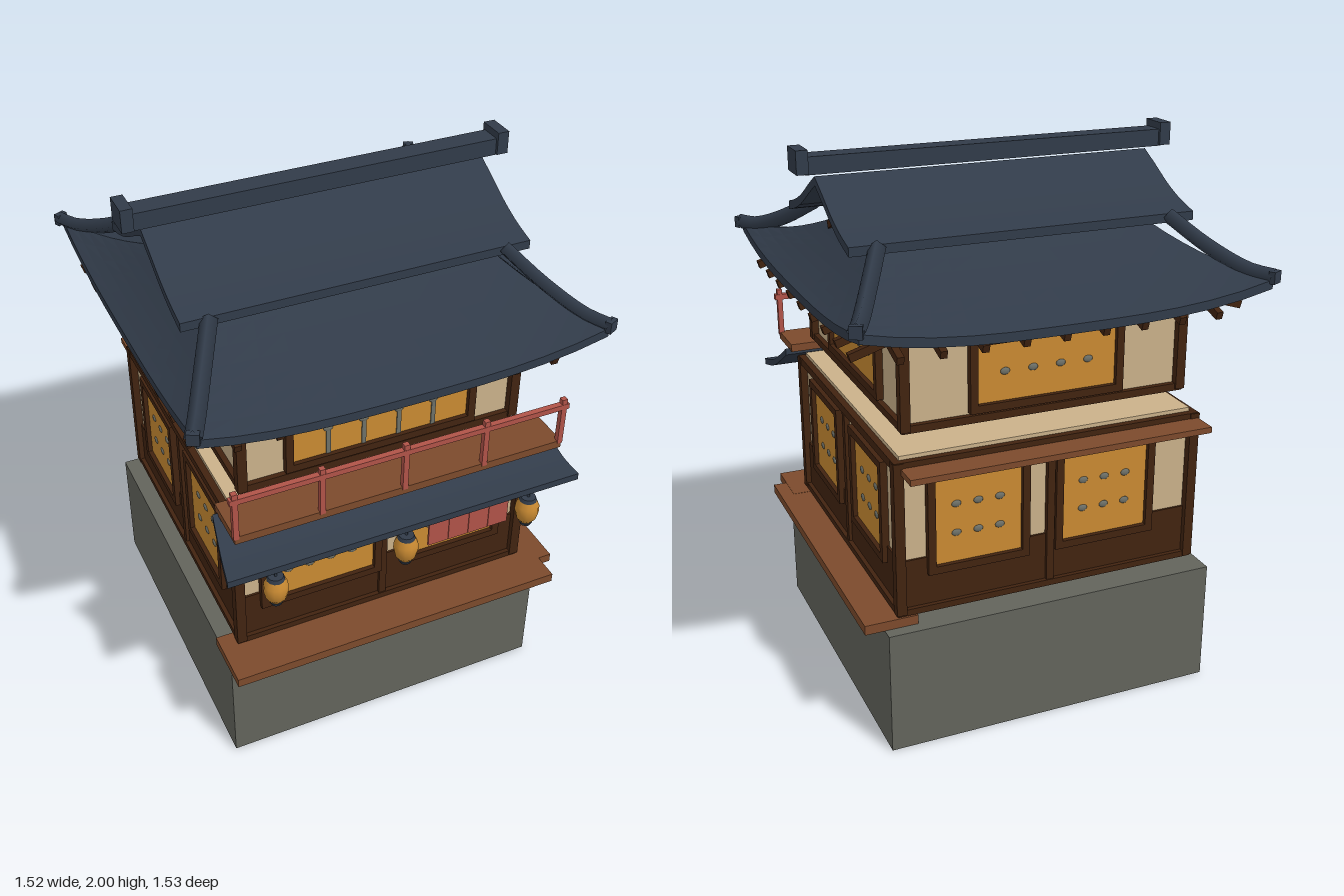
import * as THREE from 'three';

const mat = (name, color, double) => {
  const m = new THREE.MeshStandardMaterial({ color });
  m.name = name;
  if (double) m.side = THREE.DoubleSide;
  return m;
};

export function createModel() {
  const M = {
    stone: mat('stone', 0x62635b), wood: mat('deck wood', 0x7c4a2c), dark: mat('dark timber', 0x412310),
    plaster: mat('plaster', 0xcab18a), amber: mat('lit paper', 0xc98a32), tile: mat('roof tile', 0x313b49, true),
    red: mat('red', 0xb05348), lattice: mat('lattice grey', 0x6d7068),
  };
  const model = new THREE.Group();
  model.name = 'townhouse';

  const add = (parent, name, geo, material, x = 0, y = 0, z = 0) => {
    const mesh = new THREE.Mesh(geo, material);
    mesh.name = name;
    mesh.position.set(x, y, z);
    parent.add(mesh);
    return mesh;
  };
  // box given by its limits on each axis
  const box = (parent, name, material, x0, x1, y0, y1, z0, z1) => add(parent, name,
    new THREE.BoxGeometry(x1 - x0, y1 - y0, z1 - z0), material, (x0 + x1) / 2, (y0 + y1) / 2, (z0 + z1) / 2);
  const group = (parent, name, z = 0, turn = 0) => {
    const g = new THREE.Group();
    g.name = name;
    g.position.z = z;
    g.rotation.y = turn;
    parent.add(g);
    return g;
  };

  // curved roof sheet: profile of [z, y] points swept along x
  const sheet = (points, thick, width) => {
    const top = new THREE.SplineCurve(points.map(p => new THREE.Vector2(...p))).getPoints(16);
    const under = top.map(p => new THREE.Vector2(p.x, p.y - thick)).reverse();
    const geo = new THREE.ExtrudeGeometry(new THREE.Shape([...top, ...under]), { depth: width, bevelEnabled: false });
    return geo.rotateY(-Math.PI / 2).translate(width / 2, 0, 0);
  };

  // framed paper window with lattice knots
  const knot = new THREE.SphereGeometry(1, 8, 6);
  const addWindow = (parent, x0, x1, y0, y1, z, cols, rows, bars = false) => {
    const g = group(parent, 'window'), f = 0.028;
    box(g, 'paper', M.amber, x0, x1, y0, y1, z - 0.005, z + 0.008);
    for (const [a, b] of [[x0 - f, x0], [x1, x1 + f]]) box(g, 'frameSide', M.dark, a, b, y0 - f, y1 + f, z - 0.01, z + 0.025);
    for (const [a, b] of [[y0 - f, y0], [y1, y1 + f]]) box(g, 'frameRail', M.dark, x0, x1, a, b, z - 0.01, z + 0.025);
    for (let i = 1; i <= cols; i++) {
      const x = x0 + (x1 - x0) * i / (cols + 1);
      if (bars) box(g, 'latticeBar', M.lattice, x - 0.008, x + 0.008, y0, y1, z, z + 0.012);
      for (let j = 1; j <= rows; j++) {
        const y = y0 + (y1 - y0) * j / (rows + 1);
        add(g, 'latticeKnot', knot, M.lattice, x, y, z + 0.008).scale.set(0.018, 0.013, 0.006);
      }
    }
  };

  // stone base and deck
  box(model, 'stoneBase', M.stone, -0.622, 0.622, 0, 0.457, -0.63, 0.614);
  box(model, 'frontDeck', M.wood, -0.635, 0.64, 0.457, 0.492, 0.5, 0.718);
  box(model, 'sideDeck', M.wood, 0.5, 0.692, 0.456, 0.491, -0.585, 0.62);

  const house = group(model, 'house', -0.01);
  const turns = [0, Math.PI / 2, Math.PI, -Math.PI / 2];
  const names = ['front', 'left', 'back', 'right'];

  // lower storey
  const lower = group(house, 'lowerStorey');
  box(lower, 'plasterWalls', M.plaster, -0.548, 0.548, 0.49, 1.08, -0.548, 0.548);
  const sideWindows = [[-0.4, -0.1], [0.1, 0.4]];
  const lowerWindows = [[[-0.45, -0.038], [0.108, 0.45]], sideWindows, [[-0.43, -0.11], [0.045, 0.375]], sideWindows];
  turns.forEach((turn, i) => {
    const wall = group(lower, names[i] + 'LowerWall', 0, turn);
    box(wall, 'wainscot', M.dark, -0.55, 0.55, 0.5, 0.695, 0.54, 0.556);
    box(wall, 'sill', M.dark, -0.57, 0.57, 0.494, 0.517, 0.54, 0.572);
    box(wall, 'topBeam', M.dark, -0.572, 0.572, 1.036, 1.066, 0.54, 0.573);
    box(wall, 'midPost', M.dark, -0.014, 0.014, 0.5, 1.05, 0.54, 0.568);
    box(wall, 'cornerPost', M.dark, 0.54, 0.576, 0.5, 1.064, 0.54, 0.576);
    for (const [a, b] of lowerWindows[i]) addWindow(wall, a, b, 0.66, 0.985, 0.549, i === 0 && b < 0 ? 4 : 3, 2);
  });
  box(house, 'backShelf', M.wood, -0.57, 0.55, 1.024, 1.046, -0.668, -0.555);

  // upper storey
  const upper = group(house, 'upperStorey');
  box(upper, 'plasterWalls', M.plaster, -0.505, 0.505, 1.135, 1.5, -0.505, 0.505);
  turns.forEach((turn, i) => {
    const wall = group(upper, names[i] + 'UpperWall', 0, turn), w = i === 0 ? 0.33 : 0.257;
    box(wall, 'bottomBeam', M.dark, -0.525, 0.525, 1.143, 1.17, 0.495, 0.525);
    box(wall, 'topBeam', M.dark, -0.528, 0.528, 1.475, 1.502, 0.495, 0.528);
    box(wall, 'cornerPost', M.dark, 0.497, 0.532, 1.15, 1.5, 0.497, 0.532);
    addWindow(wall, -w, w, 1.205, 1.413, 0.506, 4, 1, i === 0);
    // rafters slope down towards the eaves
    for (let k = -4; k <= 4; k++) {
      const r = box(wall, 'rafter', M.dark, -0.012, 0.012, -0.014, 0.014, -0.11, 0.11);
      r.position.set(k * 0.143, 1.485, i % 2 ? 0.605 : 0.56);
      r.rotation.x = 0.3;
    }
  });

  // hipped lower roof from rectangular rings with lifted corners
  const roof = group(house, 'mainRoof', -0.005);
  const N = 12, rings = 9, pos = [], idx = [], per = 4 * N;
  for (const drop of [0, 0.032]) for (let r = 0; r < rings; r++) {
    const t = r / (rings - 1), hx = 0.725 - 0.225 * t, hz = 0.733 - 0.56 * t;
    for (let s = 0; s < per; s++) {
      const side = Math.floor(s / N), u = (s % N) / N * 2 - 1;
      const [x, z] = [[u, 1], [1, -u], [-u, -1], [-1, u]][side];
      const lift = 0.06 * Math.abs(u) ** 3 * (1 - t) ** 2;
      pos.push(x * hx, 1.522 + 0.14 * t + 0.053 * t * t + lift - drop, z * hz);
    }
  }
  const quad = (a, b, c, d) => idx.push(a, b, c, a, c, d);
  for (let s = 0; s < per; s++) {
    const n = (s + 1) % per, low = rings * per;
    for (let r = 0; r < rings - 1; r++) {
      const a = r * per;
      quad(a + s, a + n, a + per + n, a + per + s);
      quad(low + a + n, low + a + s, low + a + per + s, low + a + per + n);
    }
    quad(low + s, low + n, n, s);
  }
  const hipGeo = new THREE.BufferGeometry();
  hipGeo.setAttribute('position', new THREE.Float32BufferAttribute(pos, 3));
  hipGeo.setIndex(idx);
  const hipFlat = hipGeo.toNonIndexed();
  hipFlat.computeVertexNormals();
  add(roof, 'hippedRoof', hipFlat, M.tile);
  box(roof, 'roofTop', M.tile, -0.5, 0.5, 1.69, 1.715, -0.173, 0.173);

  // hip beams curling up at the corners
  for (const sx of [-1, 1]) for (const sz of [-1, 1]) {
    const path = new THREE.CatmullRomCurve3([[0.732, 1.59, 0.73], [0.69, 1.595, 0.645], [0.615, 1.65, 0.5], [0.535, 1.735, 0.355]]
      .map(([x, y, z]) => new THREE.Vector3(sx * x, y, sz * z)));
    const beam = group(roof, 'hipBeam');
    add(beam, 'beam', new THREE.TubeGeometry(path, 10, 0.029, 4), M.tile);
    const tip = box(beam, 'beamEnd', M.tile, -0.021, 0.021, -0.021, 0.021, -0.012, 0.012);
    tip.position.copy(path.getPoint(0));
    tip.rotation.y = sx * sz * 0.46;
  }

  // gabled upper roof, ridge and gable ends
  for (const s of [-1, 1]) {
    const slope = add(roof, 'gableSlope', sheet([[0, 1.9], [0.08, 1.858], [0.18, 1.803], [0.27, 1.766], [0.358, 1.742]], 0.032, 1.266), M.tile);
    if (s < 0) slope.rotation.y = Math.PI;
    const gable = new THREE.Shape([[-0.2, 1.71], [0.2, 1.71], [0, 1.803]].map(p => new THREE.Vector2(...p)));
    const end = group(roof, 'gableEnd', 0, s * Math.PI / 2);
    add(end, 'gablePlaster', new THREE.ExtrudeGeometry(gable, { depth: 0.02, bevelEnabled: false }), M.plaster, 0, 0, 0.49);
    for (const k of [-1, 1]) {
      const board = box(end, 'bargeBoard', M.dark, -0.1, 0.1, -0.014, 0.014, 0.5, 0.54);
      board.position.set(k * 0.085, 1.73, 0.525);
      board.rotation.z = -k * 0.46;
    }
    box(end, 'kingPost', M.dark, -0.014, 0.014, 1.71, 1.775, 0.51, 0.54);
    box(roof, 'ridgeEnd', M.tile, s > 0 ? 0.665 : -0.707, s > 0 ? 0.707 : -0.665, 1.918, 2, -0.052, 0.052);
  }
  box(roof, 'ridgeBeam', M.tile, -0.675, 0.675, 1.914, 1.975, -0.041, 0.041);

  // awning over the entrance, wider at its lower edge
  const awningGeo = sheet([[0.535, 1.108], [0.6, 1.062], [0.67, 1.022], [0.75, 1.003]], 0.026, 1.26);
  const p = awningGeo.attributes.position;
  for (let i = 0; i < p.count; i++) p.setX(i, p.getX(i) * (1 + 0.055 * (p.getZ(i) - 0.535) / 0.215));
  awningGeo.computeVertexNormals();
  add(model, 'awning', awningGeo, M.tile);

  // balcony
  const balcony = group(model, 'balcony');
  box(balcony, 'balconyFloor', M.wood, -0.612, 0.612, 1.1, 1.13, 0.51, 0.693);
  for (let k = -2; k <= 2; k++) box(balcony, 'railPost', M.red, k * 0.303 - 0.01, k * 0.303 + 0.01, 1.12, 1.308, 0.675, 0.695);
  box(balcony, 'handRail', M.red, -0.625, 0.625, 1.267, 1.288, 0.674, 0.696);

  // entrance curtain in four strips
  for (let k = 0; k < 4; k++) box(model, 'curtainStrip', M.red, 0.13 + k * 0.081, 0.209 + k * 0.081, 0.775, 0.98, 0.64, 0.648);

  // paper lanterns
  const body = new THREE.LatheGeometry([[0.022, 0.825], [0.037, 0.845], [0.044, 0.875], [0.042, 0.9], [0.03, 0.925]]
    .map(q => new THREE.Vector2(...q)), 12);
  for (const x of [-0.485, 0, 0.485]) {
    const lantern = group(model, 'lantern', 0.718);
    lantern.position.x = x;
    add(lantern, 'lanternBody', body, M.amber);
    add(lantern, 'lanternCap', new THREE.CylinderGeometry(0.027, 0.032, 0.014, 12), M.tile, 0, 0.929, 0);
    add(lantern, 'lanternFoot', new THREE.CylinderGeometry(0.026, 0.02, 0.014, 12), M.tile, 0, 0.819, 0);
    add(lantern, 'lanternCord', new THREE.CylinderGeometry(0.005, 0.005, 0.07, 6), M.tile, 0, 0.965, 0);
  }
  return model;
}
